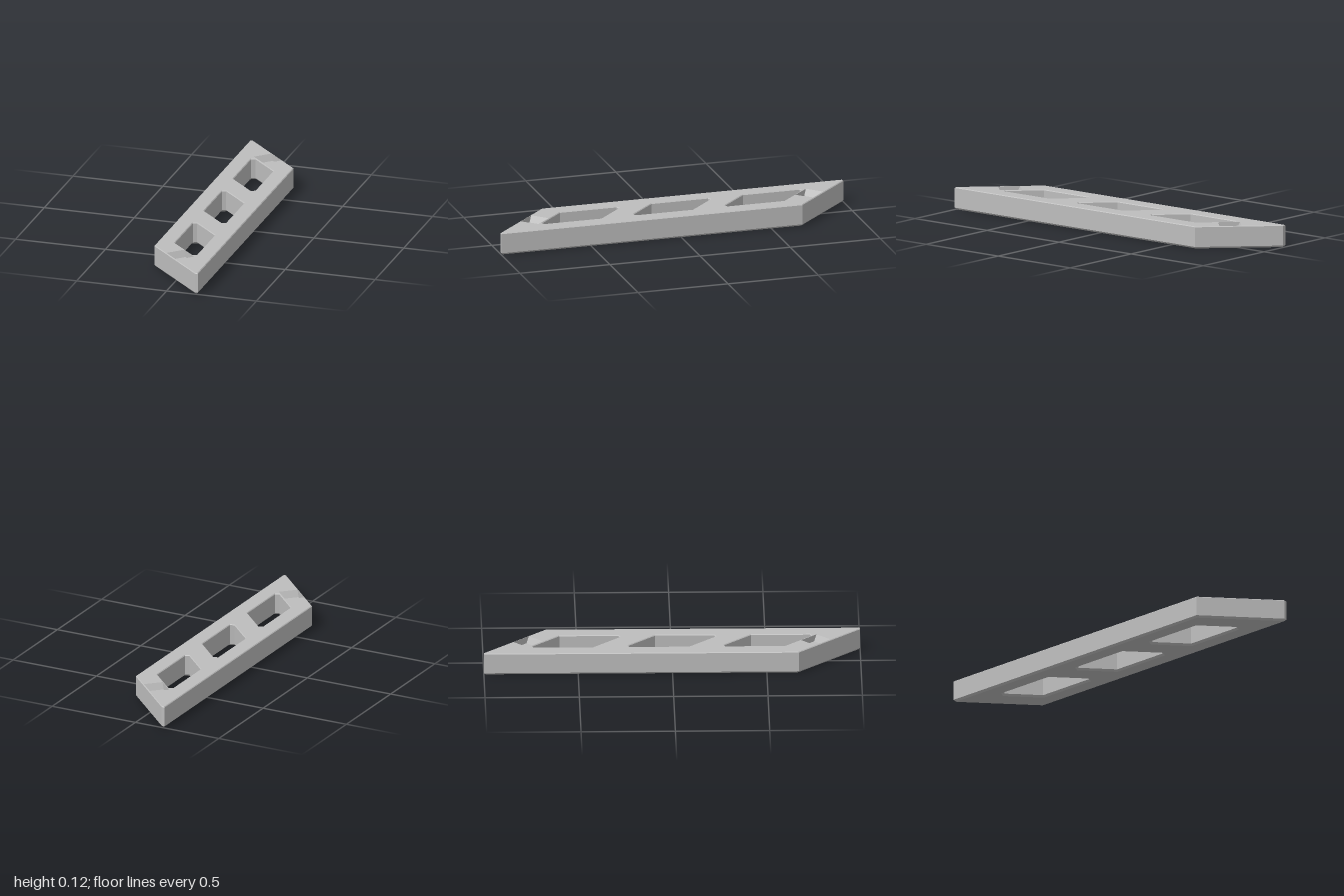
import * as THREE from 'three';

const HEIGHT = 0.12;
const FOOT = 0.01;   // bottom chamfer
const RIM = 0.004;   // top chamfer

// Plan loops are counter-clockwise from above, as [x, -z]
const turn = (loop) => loop.map(([x, w]) => [-x, -w]);
const withOpposite = (half) => [...half, ...turn(half)];

// Move every edge of a loop inwards by d (outwards if negative)
function inset(loop, d) {
  const n = loop.length;
  const normal = (a, b) => {
    const l = Math.hypot(b[0] - a[0], b[1] - a[1]);
    return [-(b[1] - a[1]) / l, (b[0] - a[0]) / l];
  };
  return loop.map((p, i) => {
    const m = normal(loop[(i + n - 1) % n], p);
    const k = normal(p, loop[(i + 1) % n]);
    const s = d / (1 + m[0] * k[0] + m[1] * k[1]);
    return [p[0] + (m[0] + k[0]) * s, p[1] + (m[1] + k[1]) * s];
  });
}

// Flat-shaded wall through a stack of { loop, y } rings, bottom to top
function wall(rings, facesIn) {
  const pos = [];
  for (let r = 0; r + 1 < rings.length; r++) {
    const lo = rings[r], hi = rings[r + 1], n = lo.loop.length;
    const at = (ring, i) => [ring.loop[i % n][0], ring.y, -ring.loop[i % n][1]];
    for (let i = 0; i < n; i++) {
      const a = at(lo, i), b = at(lo, i + 1), c = at(hi, i + 1), d = at(hi, i);
      pos.push(...(facesIn ? [a, c, b, a, d, c] : [a, b, c, a, c, d]).flat());
    }
  }
  const g = new THREE.BufferGeometry();
  g.setAttribute('position', new THREE.Float32BufferAttribute(pos, 3));
  g.computeVertexNormals();
  return g;
}

// Flat face at height y with holes, looking up or down
function cap(loop, holes, y, down) {
  const points = (l) => l.map(([x, w]) => new THREE.Vector2(x, down ? -w : w));
  const shape = new THREE.Shape(points(loop));
  shape.holes = holes.map((h) => new THREE.Path(points(h)));
  return new THREE.ShapeGeometry(shape)
    .rotateX(down ? Math.PI / 2 : -Math.PI / 2)
    .translate(0, y, 0);
}

// Chamfered profile; side is 1 for the outside, -1 for openings
const profile = (loop, side) => [
  { loop: inset(loop, FOOT * side), y: 0 },
  { loop, y: FOOT },
  { loop, y: HEIGHT - RIM },
  { loop: inset(loop, RIM * side), y: HEIGHT },
];

// Pocket corners, measured across (v) and along (t) the slanted end bar
const pocketLoop = (narrow) => {
  const t0 = -0.845 + narrow, t1 = -0.68 - narrow;
  return [[0.689, t0], [0.689, t1], [0.835, t1], [0.835, t0]]
    .map(([v, t]) => [(v + t) / 2, (v - t) / 2]);
};

export function createModel() {
  const model = new THREE.Group();
  model.name = 'slantedFrame';
  const grey = new THREE.MeshStandardMaterial({ color: 0xbdbdbd });
  grey.name = 'light grey';
  const add = (name, geometry) => {
    const mesh = new THREE.Mesh(geometry, grey);
    mesh.name = name;
    model.add(mesh);
  };

  // Outer wall
  const outer = profile(withOpposite([[-0.174, 1], [-0.174, -0.669], [0.157, -1]]), 1);
  add('outerWall', wall(outer, false));

  // Three slanted openings
  const opening = withOpposite([[-0.083, 0.225], [-0.083, -0.088], [0.062, -0.233]]);
  const openings = [-0.508, 0, 0.508].map((s) =>
    profile(opening.map(([x, w]) => [x, w + s]), -1));
  openings.forEach((rings) => add('openingWall', wall(rings, true)));

  // Shallow pocket with sloped sides in each end bar
  const depth = 0.035;
  const rim = pocketLoop(0), floor = pocketLoop(0.026);
  const pockets = [[rim, floor], [turn(rim), turn(floor)]];
  for (const [top, bottom] of pockets) {
    add('pocketWall', wall([{ loop: bottom, y: HEIGHT - depth }, { loop: top, y: HEIGHT }], true));
    add('pocketFloor', cap(bottom, [], HEIGHT - depth, false));
  }

  // Top and bottom faces
  add('topFace', cap(outer[3].loop,
    [...openings.map((o) => o[3].loop), ...pockets.map((p) => p[0])], HEIGHT, false));
  add('bottomFace', cap(outer[0].loop, openings.map((o) => o[0].loop), 0, true));
  return model;
}
